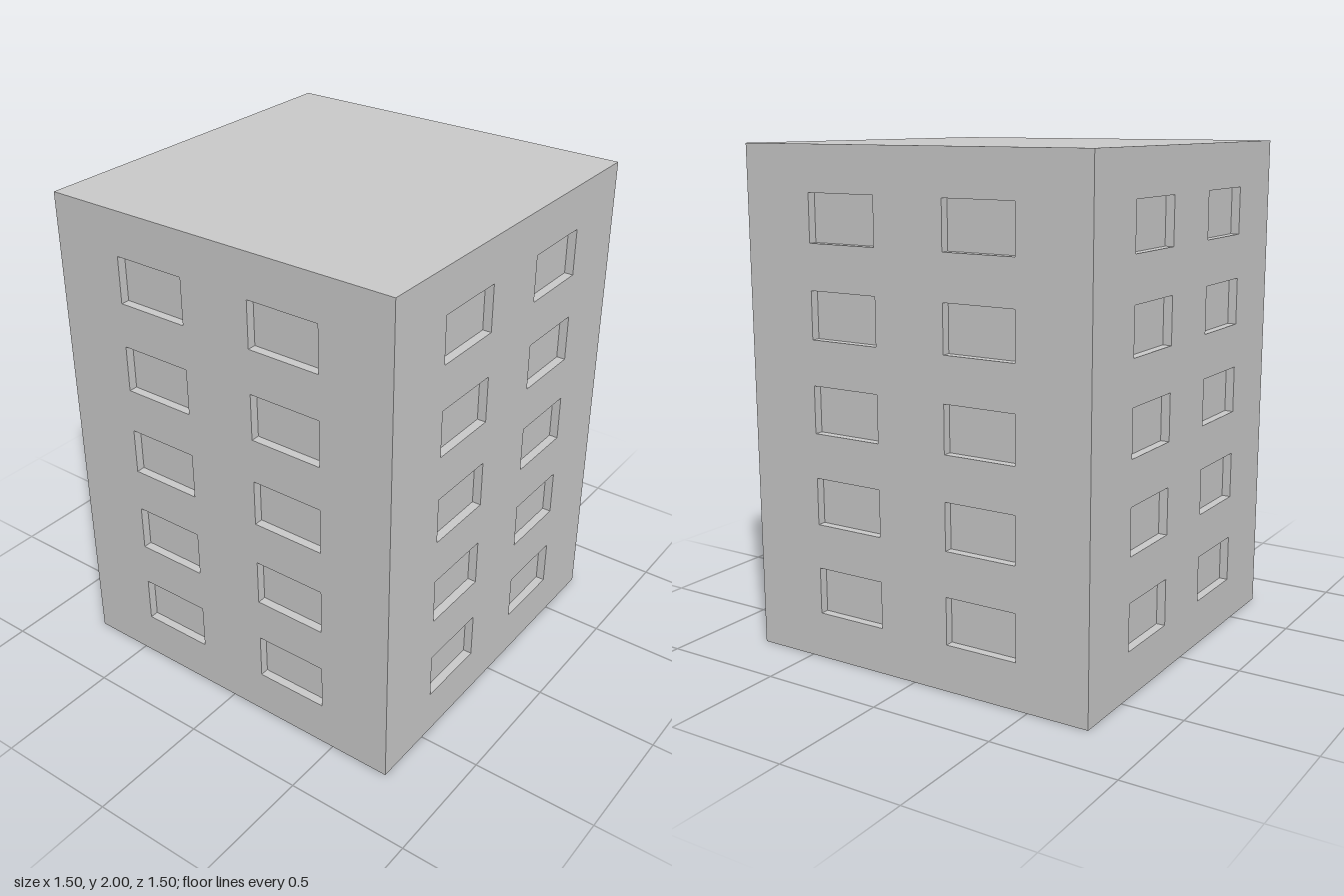
import * as THREE from 'three';
import { mergeGeometries } from 'three/addons/utils/BufferGeometryUtils.js';

const WIDTH = 1.5, HEIGHT = 2, BASE = 0.007;
const WIN_W = 0.3, WIN_H = 0.186, DEPTH = 0.035;
const COLUMNS = [-0.3, 0.3];
const FLOORS = [0, 1, 2, 3, 4].map((i) => 0.277 + i * 0.3633);

// Rectangle outline centred on (x, y)
function rectangle(path, x, y, w, h) {
  return path
    .moveTo(x - w / 2, y - h / 2)
    .lineTo(x + w / 2, y - h / 2)
    .lineTo(x + w / 2, y + h / 2)
    .lineTo(x - w / 2, y + h / 2)
    .closePath();
}

// Flat wall with an opening for each window
function wallGeometry() {
  const shape = new THREE.Shape();
  rectangle(shape, 0, (BASE + HEIGHT) / 2, WIDTH, HEIGHT - BASE);
  for (const x of COLUMNS) {
    for (const y of FLOORS) {
      const hole = new THREE.Path();
      rectangle(hole, x, y, WIN_W, WIN_H);
      shape.holes.push(hole);
    }
  }
  return new THREE.ShapeGeometry(shape);
}

// Window recess: pane, head, sill and two jambs
function windowGeometry() {
  const parts = [new THREE.PlaneGeometry(WIN_W, WIN_H).translate(0, 0, -DEPTH)];
  for (const s of [-1, 1]) {
    parts.push(
      new THREE.PlaneGeometry(WIN_W, DEPTH).rotateX(s * Math.PI / 2).translate(0, s * WIN_H / 2, -DEPTH / 2),
      new THREE.PlaneGeometry(DEPTH, WIN_H).rotateY(-s * Math.PI / 2).translate(s * WIN_W / 2, 0, -DEPTH / 2)
    );
  }
  return mergeGeometries(parts);
}

export function createModel() {
  const building = new THREE.Group();
  building.name = 'building';
  const material = new THREE.MeshStandardMaterial({ color: 0xcccccc });

  const add = (parent, geometry, name) => {
    const mesh = new THREE.Mesh(geometry, material);
    mesh.name = name;
    parent.add(mesh);
    return mesh;
  };

  // Four identical facades
  const wall = wallGeometry();
  const recess = windowGeometry();
  ['front', 'left', 'back', 'right'].forEach((side, i) => {
    const facade = new THREE.Group();
    facade.name = side + 'Facade';
    add(facade, wall, 'wall').position.z = WIDTH / 2;
    for (const x of COLUMNS) {
      for (const y of FLOORS) add(facade, recess, 'window').position.set(x, y, WIDTH / 2);
    }
    facade.rotation.y = i * Math.PI / 2;
    building.add(facade);
  });

  // Flat roof and thin base slab
  add(building, new THREE.PlaneGeometry(WIDTH, WIDTH).rotateX(-Math.PI / 2), 'roof').position.y = HEIGHT;
  add(building, new THREE.BoxGeometry(WIDTH, BASE, WIDTH), 'baseSlab').position.y = BASE / 2;

  return building;
}
